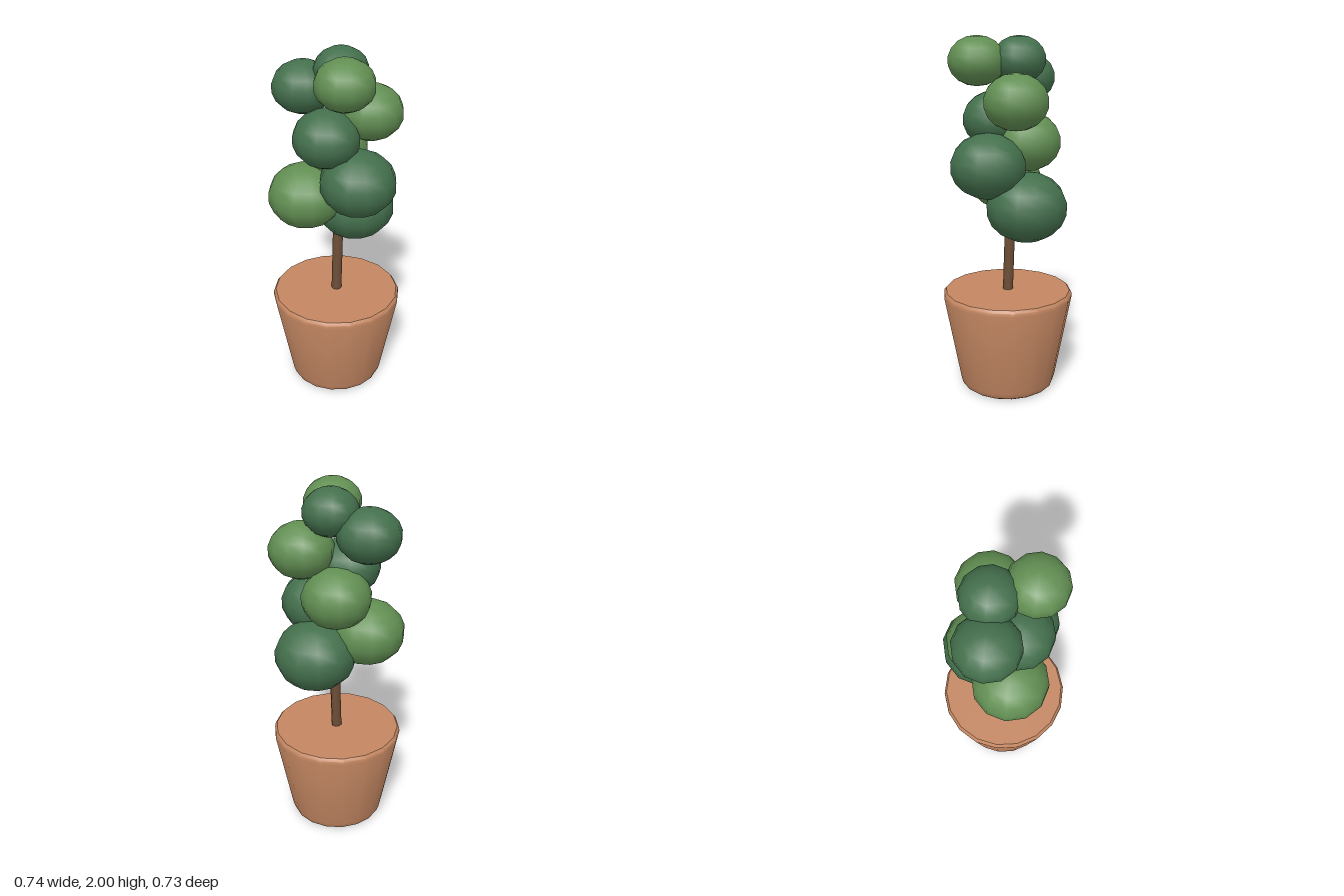
import * as THREE from 'three';
import { toCreasedNormals } from 'three/addons/utils/BufferGeometryUtils.js';

const paint = (color) => new THREE.MeshStandardMaterial({ color });

function addMesh(parent, name, geometry, material) {
  const mesh = new THREE.Mesh(geometry, material);
  mesh.name = name;
  parent.add(mesh);
  return mesh;
}

export function createModel() {
  const model = new THREE.Group();
  model.name = 'pottedTopiary';
  const clay = paint(0xc48762);
  const bark = paint(0x6e4f38);
  const darkLeaf = paint(0x44704d);
  const lightLeaf = paint(0x628f53);

  // Tapered pot with chamfered edges, closed at the top by level soil
  const profile = [
    [0, 0], [0.255, 0], [0.268, 0.01], [0.278, 0.04],
    [0.372, 0.54], [0.37, 0.56], [0.358, 0.575], [0, 0.575],
  ].map(([r, y]) => new THREE.Vector2(r, y));
  const potGeometry = toCreasedNormals(new THREE.LatheGeometry(profile, 18), 0.6);
  potGeometry.rotateY(Math.PI / 2);
  addMesh(model, 'pot', potGeometry, clay);

  // Slightly leaning trunk, running up inside the foliage
  const trunkPath = new THREE.CatmullRomCurve3([
    new THREE.Vector3(0, 0.5, 0),
    new THREE.Vector3(0.016, 0.93, -0.003),
    new THREE.Vector3(0.03, 1.3, -0.01),
    new THREE.Vector3(0.02, 1.6, -0.01),
  ]);
  addMesh(model, 'trunk', new THREE.TubeGeometry(trunkPath, 8, 0.029, 8), bark);

  // Flattened foliage balls spiralling upwards: x, y, z, radius, height radius
  const foliage = new THREE.Group();
  foliage.name = 'foliage';
  model.add(foliage);
  const ball = new THREE.SphereGeometry(1, 12, 9);
  [
    [0.145, 1.084, 0, 0.228, 0.195],
    [-0.125, 1.192, -0.11, 0.212, 0.181],
    [0.01, 1.314, 0.16, 0.21, 0.179],
    [0.067, 1.43, -0.087, 0.19, 0.165],
    [-0.083, 1.55, 0.015, 0.183, 0.156],
    [0.158, 1.66, 0.098, 0.177, 0.151],
    [-0.055, 1.773, -0.2, 0.17, 0.142],
    [-0.081, 1.867, 0.15, 0.159, 0.133],
    [0.059, 1.874, -0.027, 0.149, 0.126],
  ].forEach(([x, y, z, r, h], i) => {
    const isDark = i % 2 === 0;
    const mesh = addMesh(foliage, `leafBall${i + 1}`, ball, isDark ? darkLeaf : lightLeaf);
    mesh.position.set(x, y, z);
    mesh.scale.set(r, h, r);
  });
  // The top two balls alternate in the same rhythm: light, then dark

  return model;
}
